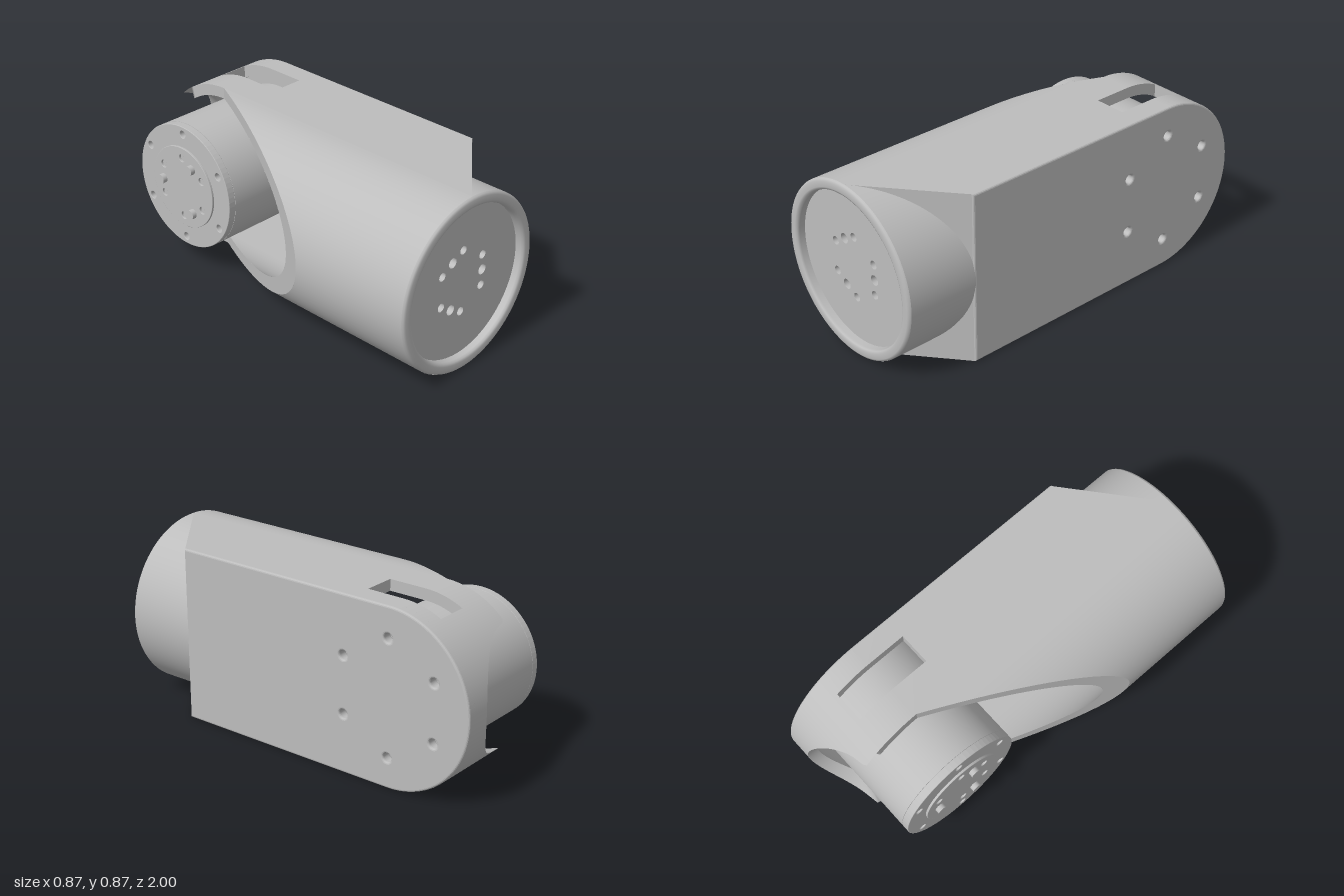
import * as THREE from 'three';

const R = 0.434, RI = 0.378, CY = 0.435;      // outer and inner radius, axis height
const ZC = -0.565, NOTCH = 0.305;             // joint axis z, rear notch radius
const grey = new THREE.MeshStandardMaterial({ color: 0xbdbdbd, side: THREE.DoubleSide });
grey.name = 'grey';

const V = (x, dy, z) => new THREE.Vector3(x, CY + dy, z);
const slantZ = (x, off) => 0.985 - off - 0.825 * x;   // sloping shoulder at the front
const cutZ = x => ZC - 2.13 * x;                      // oblique cut of the left side
const range = (n, f) => Array.from({ length: n + 1 }, (_, i) => f(i / n));

// Surface through rows of points, optionally leaving cells out
function sheet(rows, { flat = false, skip = () => false } = {}) {
  const n = rows[0].length, index = [];
  for (let i = 0; i < rows.length - 1; i++)
    for (let j = 0; j < n - 1; j++) {
      if (skip(i, j)) continue;
      const a = i * n + j, b = a + n;
      index.push(a, b, a + 1, b, b + 1, a + 1);
    }
  let g = new THREE.BufferGeometry().setFromPoints(rows.flat());
  g.setIndex(index);
  if (flat) g = g.toNonIndexed();
  g.computeVertexNormals();
  return g;
}

// Right half of the shell: stadium path along z, swept across x
function stadiumRows(r, xMax, off) {
  const aSlot = Math.asin(0.195 / r);
  const angles = [...range(8, t => t * aSlot), ...range(90, t => aSlot + t * (Math.PI - aSlot)).slice(1)];
  const path = [[null, r], [-0.37, r],
    ...angles.map(a => [ZC - r * Math.sin(a), r * Math.cos(a)]), [null, -r]];
  return path.map(([z, dy]) => {
    const x0 = z !== null && z < ZC - 0.01 && Math.abs(dy) < NOTCH ? Math.sqrt(NOTCH ** 2 - dy ** 2) : 0;
    return [x0, Math.max(x0, 0.16), Math.max(x0, 0.32), xMax].map(x => V(x, dy, z === null ? slantZ(x, off) : z));
  });
}

// Half cylinder along z, side -1 is the model's right-hand (-x) half
const halfTube = (r, side, zA, zB) => sheet(range(48, t => {
  const a = t * Math.PI, x = side * r * Math.sin(a), dy = r * Math.cos(a);
  return [V(x, dy, zA(x)), V(x, dy, zB)];
}));

// Sloping shoulder between the round front and the square corner
const shoulder = (r, xMax, off, s) => sheet(range(40, t => {
  const x = t * xMax, z = slantZ(x, off);
  return [V(x, s * Math.sqrt(Math.max(0, r * r - x * x)), z), V(x, s * r, z)];
}));

const ringOf = (n, radius, r, start) => range(n - 1, t => {
  const a = start + t * (n - 1) / n * Math.PI * 2;
  return [radius * Math.cos(a), radius * Math.sin(a), r];
});

function plate(shape, holes, depth, bevel) {
  for (const [x, y, r] of holes) shape.holes.push(new THREE.Path().absarc(x, y, r, 0, Math.PI * 2, true));
  return new THREE.ExtrudeGeometry(shape, {
    depth: depth - 2 * bevel, bevelEnabled: bevel > 0, bevelThickness: bevel, bevelSize: bevel,
    bevelOffset: -bevel, bevelSegments: 3, curveSegments: 40,
  }).translate(0, 0, bevel);
}
const circle = r => new THREE.Shape().absarc(0, 0, r, 0, Math.PI * 2, false);

export function createModel() {
  const model = new THREE.Group();
  const add = (name, geometry, parent = model) => {
    const m = new THREE.Mesh(geometry, grey);
    m.name = name;
    parent.add(m);
    return m;
  };

  // Housing shell, outside and inside
  const housing = new THREE.Group();
  housing.name = 'housing';
  model.add(housing);
  const skip = (i, j) => j === 1 && i >= 1 && i < 10;   // cable slot in the top
  const outer = stadiumRows(R, 0.424, 0), inner = stadiumRows(RI, RI, 0.072);
  add('outerShell', sheet(outer, { skip }), housing);
  add('innerShell', sheet(inner, { skip }), housing);
  add('outerBarrelOpenSide', halfTube(R, -1, cutZ, 0.986), housing);
  add('innerBarrelOpenSide', halfTube(RI, -1, cutZ, 0.95), housing);
  add('outerBarrelFlatSide', halfTube(R, 1, x => slantZ(x, 0), 0.986), housing);
  add('innerBarrelFlatSide', halfTube(RI, 1, x => slantZ(x, 0.072), 0.95), housing);
  for (const s of [1, -1]) {
    add('outerShoulder', shoulder(R, 0.424, 0, s), housing);
    add('innerShoulder', shoulder(RI, RI, 0.072, s), housing);
  }

  // Rims joining the two skins
  add('obliqueRim', sheet(range(64, t => [R, RI].map(r => {
    const x = -r * Math.sin(t * Math.PI);
    return V(x, r * Math.cos(t * Math.PI), cutZ(x));
  }))), housing);
  add('rearRim', sheet(outer.slice(2, -1).map((row, i) => [row[0], inner[i + 2][0]])), housing);
  const loop = rows => {
    const part = rows.slice(1, 11);
    return [...part.map(r => r[1]), ...part.map(r => r[2]).reverse(), part[0][1]];
  };
  add('slotWalls', sheet([loop(outer), loop(inner)], { flat: true }), housing);

  // Flat side plate with six bolt holes
  const stadium = new THREE.Shape();
  stadium.moveTo(-0.635, -R).lineTo(-ZC, -R);
  stadium.absarc(-ZC, 0, R, -Math.PI / 2, Math.PI / 2, false);
  stadium.lineTo(-0.635, R).closePath();
  const bolts = ringOf(6, 0.285, 0.022, Math.PI / 2).map(([x, y, r]) => [x - ZC, y, r]);
  const side = add('sidePlate', plate(stadium, bolts, 0.056, 0.01), housing);
  side.rotation.y = Math.PI / 2;
  side.position.set(RI, CY, 0);

  // Rounded front rim
  const profile = [[R, 0.985], [R - 0.004, 0.994], [R - 0.014, 1], [0.394, 1], [0.383, 0.995], [RI, 0.984], [RI, 0.915]]
    .map(p => new THREE.Vector2(...p));
  add('frontRim', new THREE.LatheGeometry(profile, 96).rotateX(Math.PI / 2).translate(0, CY, 0), housing);

  // Recessed front lid with its hole pattern
  const lidHoles = [...ringOf(6, 0.157, 0.021, Math.PI / 2), ...ringOf(3, 0.139, 0.025, 0)];
  add('frontLid', plate(circle(RI), lidHoles, 0.04, 0)).position.set(0, CY, 0.915);
  add('lidBacking', new THREE.CircleGeometry(RI, 64)).position.set(0, CY, 0.913);

  // Joint motor lying across the housing
  const motor = new THREE.Group();
  motor.name = 'motor';
  motor.position.set(0, CY, ZC);
  motor.rotation.y = -Math.PI / 2;   // local +z points to -x
  model.add(motor);
  add('motorBody', new THREE.CylinderGeometry(0.32, 0.32, 0.613, 80).rotateX(Math.PI / 2), motor).position.z = -0.0715;
  add('motorFlange', plate(circle(0.32), ringOf(6, 0.28, 0.019, Math.PI / 2), 0.04, 0.003), motor).position.z = 0.235;
  add('outputDisc', plate(circle(0.212), ringOf(6, 0.157, 0.019, Math.PI / 2), 0.012, 0.002), motor).position.z = 0.274;
  for (const [x, y] of ringOf(3, 0.139, 0, Math.PI))
    add('locatingPin', new THREE.CylinderGeometry(0.024, 0.024, 0.04, 24).rotateX(Math.PI / 2), motor).position.set(x, y, 0.29);

  return model;
}
